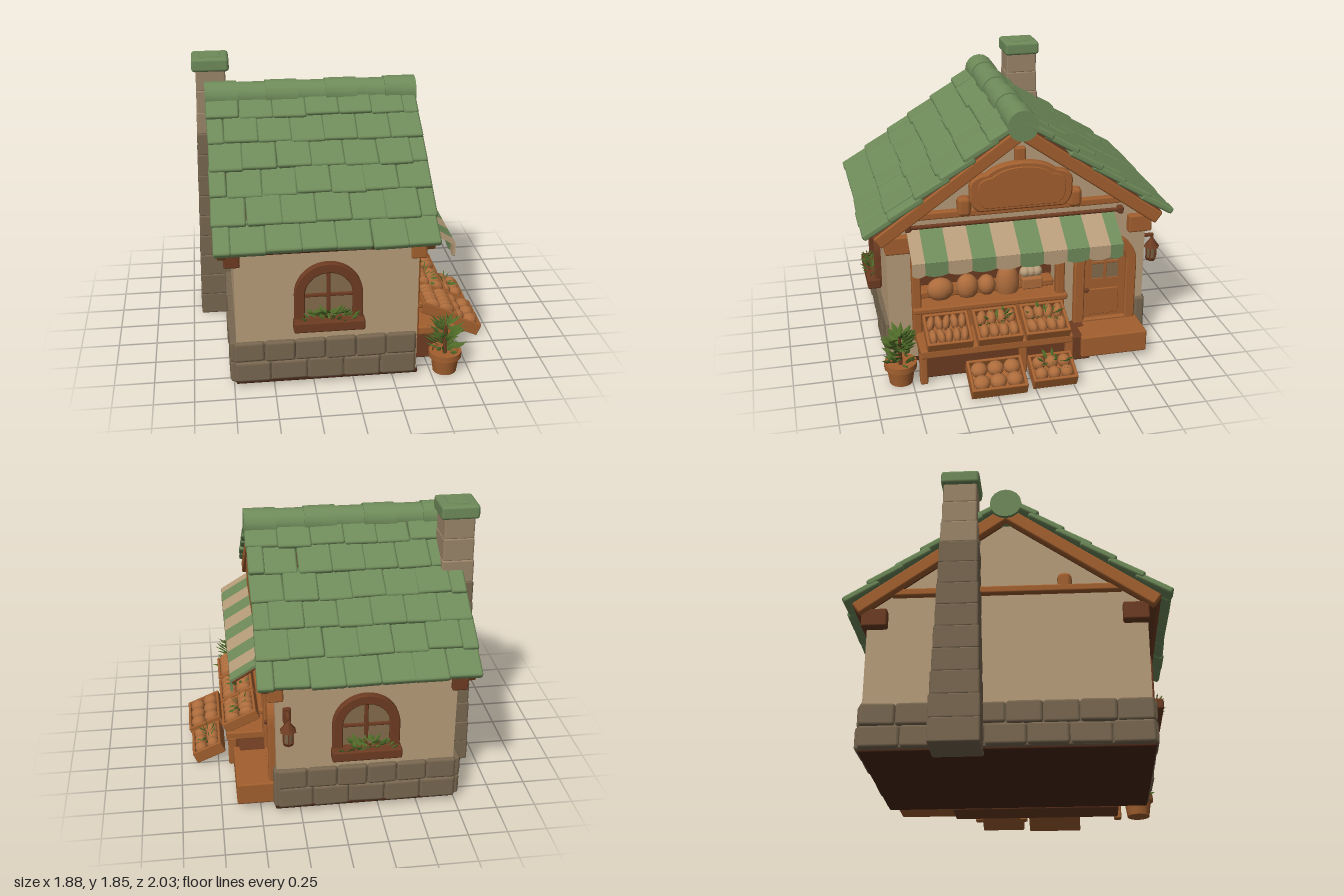
import * as THREE from 'three';
import { toCreasedNormals } from 'three/addons/utils/BufferGeometryUtils.js';
import { RoundedBoxGeometry } from 'three/addons/geometries/RoundedBoxGeometry.js';

const mat = (name, color) => Object.assign(new THREE.MeshStandardMaterial({ color }), { name });
const M = {
  green: mat('roofGreen', 0x6f8b5a), plaster: mat('plaster', 0xb89d7a), timber: mat('darkTimber', 0x6e3c22),
  wood: mat('warmWood', 0xa3602f), stone: mat('stone', 0x786750), pale: mat('paleStone', 0x9c866a),
  dark: mat('shadowWood', 0x4a2817), leaf: mat('leaf', 0x4f6b28), glass: mat('glass', 0x846c4c), bread: mat('bread', 0xad6c3c),
};
let seed = 7;
const rnd = (a = -1, b = 1) => { seed = (seed * 16807) % 2147483647; return a + (b - a) * seed / 2147483647; };

function add(parent, name, geo, m, x = 0, y = 0, z = 0, rx = 0, ry = 0, rz = 0) {
  const mesh = new THREE.Mesh(geo, m);
  mesh.name = name; mesh.position.set(x, y, z); mesh.rotation.set(rx, ry, rz);
  parent.add(mesh);
  return mesh;
}
function group(parent, name, x = 0, y = 0, z = 0, ry = 0) {
  const g = new THREE.Group();
  g.name = name; g.position.set(x, y, z); g.rotation.y = ry; parent.add(g);
  return g;
}
const rbox = (w, h, d, r = 0.012) => new RoundedBoxGeometry(w, h, d, 1, Math.min(r, w / 3, h / 3, d / 3));
// box given by its limits
const span = (p, name, m, x0, x1, y0, y1, z0, z1, r) =>
  add(p, name, rbox(x1 - x0, y1 - y0, z1 - z0, r), m, (x0 + x1) / 2, (y0 + y1) / 2, (z0 + z1) / 2);
const extrude = (shape, depth, bevel = 0) => toCreasedNormals(new THREE.ExtrudeGeometry(shape, {
  depth, curveSegments: 10, bevelEnabled: bevel > 0, bevelSize: bevel, bevelThickness: bevel, bevelSegments: 1 }), 0.6);
const poly = pts => new THREE.Shape(pts.map(p => new THREE.Vector2(...p)));
function arch(hw, y0, ys) {
  const s = new THREE.Shape();
  s.moveTo(-hw, y0); s.lineTo(hw, y0); s.lineTo(hw, ys); s.absarc(0, ys, hw, 0, Math.PI); s.closePath();
  return s;
}
function archFrame(hw, t, y0, sill, ys) {
  const s = arch(hw, y0, ys);
  s.holes.push(arch(hw - t, y0 + sill, ys));
  return s;
}

// pointed leaves spread through a half ellipsoid
const leafGeo = new THREE.OctahedronGeometry(1, 0).scale(0.32, 1, 0.12).translate(0, 0.6, 0);
function foliage(p, name, n, size, rx, h, rz, x, y, z) {
  const g = group(p, name, x, y, z), up = new THREE.Vector3(0, 1, 0);
  for (let i = 0; i < n; i++) {
    const a = i * 2.4, k = Math.sqrt(rnd(0, 1)), v = rnd(0, 1), w = k * (1 - 0.5 * v);
    const m = add(g, 'leaf', leafGeo, M.leaf, Math.cos(a) * rx * w, h * v, Math.sin(a) * rz * w);
    m.quaternion.setFromUnitVectors(up, new THREE.Vector3(Math.cos(a), rnd(0.3, 1.1), Math.sin(a)).normalize());
    m.scale.setScalar(size * rnd(0.75, 1.15));
  }
}

// open crate with loaves, front facing +z
function crate(p, w, h, d, x, y, z, tilt, cols, rows, greens) {
  const g = group(p, 'crate', x, y, z);
  g.rotation.x = tilt;
  span(g, 'crateBottom', M.wood, -w / 2, w / 2, 0, 0.02, -d / 2, d / 2);
  for (const s of [-1, 1]) {
    add(g, 'crateSide', rbox(0.02, h, d), M.wood, s * (w / 2 - 0.01), h / 2, 0);
    add(g, 'crateEnd', rbox(w, h, 0.02), M.wood, 0, h / 2, s * (d / 2 - 0.01));
  }
  const cw = (w - 0.04) / cols, cd = (d - 0.04) / rows;
  for (let i = 0; i < cols; i++) for (let j = 0; j < rows; j++) {
    const b = add(g, 'loaf', new THREE.SphereGeometry(1, 10, 8), M.bread,
      (i + 0.5) * cw - w / 2 + 0.02, h * 0.8, (j + 0.5) * cd - d / 2 + 0.02, 0, rnd() * 0.3, 0);
    b.scale.set(cw * 0.52, 0.045, cd * 0.52);
  }
  if (greens) foliage(g, 'greens', 12, 0.035, w * 0.4, 0.03, d * 0.3, 0, h, -0.02);
}

function windowUnit(p, z, ry) {
  const g = group(p, 'archedWindow', -0.16, 0, z, ry);
  add(g, 'windowFrame', extrude(archFrame(0.205, 0.052, 0.43, 0.05, 0.635), 0.04, 0.006), M.timber, 0, 0, -0.01);
  add(g, 'windowGlass', extrude(arch(0.16, 0.45, 0.635), 0.006), M.glass, 0, 0, 0.002);
  span(g, 'mullion', M.timber, -0.013, 0.013, 0.46, 0.79, 0, 0.022);
  span(g, 'glazingBar', M.timber, -0.155, 0.155, 0.617, 0.64, 0, 0.02);
  span(g, 'planterBox', M.timber, -0.22, 0.22, 0.41, 0.48, 0.0, 0.09);
  foliage(g, 'planterLeaves', 55, 0.034, 0.18, 0.06, 0.045, 0, 0.475, 0.055);
}

function buildRoof(root) {
  const roof = group(root, 'roof', -0.17), tilt = Math.atan(0.71);
  for (const ry of [0, Math.PI]) {
    const side = group(roof, 'roofSlope', 0, 1.64, 0, ry), slope = new THREE.Group();
    slope.rotation.x = tilt; side.add(slope);
    span(slope, 'roofDeck', M.timber, -0.65, 0.65, -0.05, 0.005, 0, 1.16);
    for (const x of [-0.63, 0.63]) span(slope, 'rafter', M.wood, x - 0.03, x + 0.03, -0.085, 0.0, 0.02, 1.16);
    for (let r = 0; r < 6; r++) {
      const off = r % 2 ? 0.5 : 0;
      for (let c = 0; c < 7; c++) {
        const x0 = Math.max(-0.675, -0.68 + (c - off) * 0.21), x1 = Math.min(0.675, -0.68 + (c + 1 - off) * 0.21);
        if (x1 - x0 < 0.04) continue;
        add(slope, 'roofTile', rbox(x1 - x0 + 0.006, 0.045, 0.25, 0.015), M.green,
          (x0 + x1) / 2 + rnd() * 0.005, 0.034 + rnd() * 0.005, 0.095 + r * 0.196 + rnd() * 0.009, -0.09, rnd() * 0.02, rnd() * 0.015);
      }
    }
  }
  // overlapping ridge caps
  for (let i = 0; i < 7; i++)
    add(roof, 'ridgeCap', toCreasedNormals(new THREE.CylinderGeometry(0.1 - (i % 2) * 0.009, 0.1 - (i % 2) * 0.009, 0.205, 16), 0.6),
      M.green, -0.58 + i * 0.193, 1.642, 0, 0, 0, Math.PI / 2);
}

function buildStonework(root) {
  // plinth: two courses of uneven blocks along front, back and left sides
  for (const [ry, half, dist, cx] of [[0, 0.57, 0.865, -0.175], [Math.PI, 0.57, 0.865, -0.175], [-Math.PI / 2, 0.87, 0.575, -0.175]]) {
    const g = group(root, 'stonePlinth', cx, 0, 0, ry);
    span(g, 'plinthCore', M.stone, -half, half, 0.045, 0.32, dist - 0.05, dist + 0.005);
    for (let r = 0; r < 2; r++) {
      const n = Math.round(half * 8) + r;
      for (let i = 0; i < n; i++) {
        const w = half * 2 / n;
        add(g, 'plinthStone', rbox(w, 0.143 + rnd() * 0.008, 0.07, 0.02), M.stone,
          -half + (i + 0.5) * w, 0.118 + r * 0.138, dist - 0.012 + rnd() * 0.006, 0, rnd() * 0.02, rnd() * 0.02);
      }
    }
  }
  // chimney in tapering courses
  const ch = group(root, 'chimney', -0.81, 0, -0.285);
  for (let i = 0; i < 12; i++) {
    const k = i / 11;
    add(ch, 'chimneyCourse', rbox(0.265 - 0.07 * k + rnd() * 0.004, 0.154, 0.31 - 0.095 * k + rnd() * 0.004, 0.012),
      i > 8 ? M.pale : M.stone, 0, 0.085 + i * 0.147, 0);
  }
  add(ch, 'chimneyCap', rbox(0.245, 0.09, 0.245, 0.02), M.green, 0, 1.803, 0);
  add(ch, 'chimneyCapPanel', rbox(0.14, 0.012, 0.14, 0.004), M.green, 0, 1.847, 0);
}

// shop face: local x runs along the face, local z points outward
function buildShop(root) {
  const s = group(root, 'shopFace', 0, 0, 0, Math.PI / 2);
  const wall = poly([[-0.86, 0.04], [0.86, 0.04], [0.86, 0.95], [0, 1.56], [-0.86, 0.95]]);
  add(s, 'mainWalls', extrude(wall, 0.93), M.plaster, 0, 0, -0.73);
  const front = wall.clone();
  front.holes.push(poly([[-0.65, 0.42], [0.27, 0.42], [0.27, 0.8], [-0.65, 0.8]]));
  add(s, 'shopWall', extrude(front, 0.2), M.plaster, 0, 0, 0.2);
  span(s, 'floor', M.dark, -0.87, 0.87, 0.03, 0.06, -0.74, 0.41);
  span(s, 'recessBack', M.timber, -0.66, 0.28, 0.41, 0.82, 0.19, 0.215);

  // timber framing on both gables
  for (const z of [0.4, -0.74]) {
    span(s, 'tieBeam', M.wood, -0.84, 0.84, 1.045, 1.095, z - 0.03, z + 0.04).scale.x = 0.85;
    for (const u of [-0.36, 0.36]) span(s, 'braceEnd', M.wood, u - 0.045, u + 0.045, 1.05, 1.18, z - 0.03, z + 0.06, 0.03);
    for (const u of [-0.8, 0.8]) span(s, 'eaveBracket', z > 0 ? M.wood : M.timber, u - 0.07, u + 0.09, 0.83, 0.95, z - 0.05, z + 0.05);
  }
  for (const u of [-0.88, 0.88]) span(s, 'eaveBeam', M.timber, u - 0.04, u + 0.04, 0.93, 1.0, -0.8, 0.46);
  span(s, 'kingPost', M.wood, -0.035, 0.035, 1.36, 1.48, 0.38, 0.44);
  span(s, 'cornerStone', M.stone, 0.81, 0.88, 0.05, 0.33, 0.34, 0.42, 0.02);

  // shaped blank sign
  const sign = k => {
    const h = new THREE.Shape();
    h.moveTo(-0.27 * k, -0.13 * k); h.lineTo(0.27 * k, -0.13 * k); h.quadraticCurveTo(0.33 * k, -0.1 * k, 0.32 * k, 0);
    h.quadraticCurveTo(0.34 * k, 0.09 * k, 0.22 * k, 0.1 * k); h.quadraticCurveTo(0.15 * k, 0.165 * k, 0, 0.165 * k);
    h.quadraticCurveTo(-0.15 * k, 0.165 * k, -0.22 * k, 0.1 * k); h.quadraticCurveTo(-0.34 * k, 0.09 * k, -0.32 * k, 0);
    h.quadraticCurveTo(-0.33 * k, -0.1 * k, -0.27 * k, -0.13 * k);
    return h;
  };
  add(s, 'signBoard', extrude(sign(1), 0.04, 0.01), M.wood, 0, 1.225, 0.43);
  add(s, 'signPanel', extrude(sign(0.86), 0.008, 0.004), M.wood, 0, 1.225, 0.478);

  // striped awning with scalloped valance
  const aw = group(s, 'awning');
  const cuts = [-0.73, -0.65, -0.505, -0.355, -0.205, -0.05, 0.1, 0.255, 0.4, 0.54, 0.625];
  for (let i = 0; i < 10; i++) {
    const w = cuts[i + 1] - cuts[i], c = (cuts[i] + cuts[i + 1]) / 2, m = i % 2 ? M.green : M.plaster;
    add(aw, 'awningStripe', new THREE.BoxGeometry(w, 0.014, 0.275), m, c, 0.922, 0.535, 0.55);
    const v = new THREE.Shape();
    v.moveTo(-w / 2, 0.855); v.lineTo(-w / 2, 0.775); v.quadraticCurveTo(0, 0.745, w / 2, 0.775); v.lineTo(w / 2, 0.855);
    add(aw, 'awningValance', extrude(v, 0.014), m, c, 0, 0.642);
  }
  add(aw, 'awningRod', new THREE.CylinderGeometry(0.014, 0.014, 1.42, 10), M.timber, -0.02, 1.0, 0.43, 0, 0, Math.PI / 2);
  for (const u of [-0.72, 0.67]) {
    span(aw, 'rodBracket', M.timber, u - 0.02, u + 0.02, 0.975, 1.025, 0.4, 0.455);
    add(aw, 'awningArm', new THREE.CylinderGeometry(0.008, 0.008, 0.26, 6), M.timber, u * 0.93, 0.905, 0.535, Math.PI / 2 + 0.55);
  }

  // shop window posts, counter and stall
  for (const u of [-0.68, 0.275]) span(s, 'windowPost', M.wood, u - 0.03, u + 0.03, 0.2, 0.99, 0.38, 0.445);
  span(s, 'windowLintel', M.timber, -0.68, 0.28, 0.78, 0.83, 0.38, 0.43);
  span(s, 'counter', M.wood, -0.71, 0.32, 0.4, 0.44, 0.22, 0.47);
  span(s, 'recessShelf', M.wood, -0.64, 0.26, 0.44, 0.49, 0.22, 0.33);
  span(s, 'stallPanel', M.wood, -0.7, 0.31, 0.2, 0.41, 0.38, 0.43);
  span(s, 'stallLedge', M.wood, -0.7, 0.3, 0.2, 0.26, 0.4, 0.69);
  span(s, 'stallBase', M.timber, -0.68, 0.44, 0.02, 0.2, 0.4, 0.62);
  for (const u of [-0.68, -0.03, 0.28]) span(s, 'stallLeg', M.wood, u - 0.025, u + 0.025, 0.01, 0.22, 0.62, 0.68);
  [[-0.51, 5], [-0.185, 4], [0.13, 4]].forEach(([u, n], i) => crate(s, 0.295, 0.075, 0.25, u, 0.295, 0.57, 0.42, n, 2, i > 0));
  crate(s, 0.36, 0.085, 0.24, -0.24, 0.055, 0.8, 0.4, 3, 2, false);
  crate(s, 0.29, 0.085, 0.21, 0.125, 0.055, 0.795, 0.4, 3, 2, true);
  [[-0.51, 0.09, 0.08], [-0.33, 0.075, 0.09], [-0.2, 0.06, 0.07], [-0.06, 0.08, 0.14]].forEach(([u, w, h]) =>
    add(s, 'displayLoaf', new THREE.SphereGeometry(1, 14, 10), M.bread, u, 0.5, 0.33).scale.set(w, h, 0.065));
  span(s, 'displayBasket', M.bread, 0.03, 0.17, 0.46, 0.54, 0.27, 0.39);
  for (const u of [0.06, 0.1, 0.14]) add(s, 'flourRoll', new THREE.SphereGeometry(0.038, 10, 8), M.plaster, u, 0.565, 0.33);

  // arched door and step
  const d = group(s, 'door', 0.585, 0, 0.4);
  add(d, 'doorFrame', extrude(archFrame(0.205, 0.055, 0.2, 0.01, 0.615), 0.045, 0.008), M.wood, 0, 0, -0.01);
  add(d, 'doorLeaf', extrude(arch(0.155, 0.2, 0.615), 0.015), M.wood, 0, 0, 0);
  span(d, 'doorPanel', M.wood, -0.1, 0.1, 0.24, 0.43, 0.01, 0.026);
  add(d, 'doorWindowFrame', extrude(archFrame(0.11, 0.018, 0.49, 0.018, 0.65), 0.014), M.wood, 0, 0, 0.014);
  add(d, 'doorGlass', extrude(arch(0.095, 0.5, 0.65), 0.004), M.glass, 0, 0, 0.014);
  span(d, 'doorMullion', M.wood, -0.01, 0.01, 0.5, 0.75, 0.014, 0.028);
  span(d, 'doorBar', M.wood, -0.1, 0.1, 0.615, 0.635, 0.014, 0.028);
  add(d, 'doorKnob', new THREE.SphereGeometry(0.016, 8, 6), M.timber, -0.125, 0.43, 0.03);
  span(s, 'doorStep', M.wood, 0.37, 0.82, 0.05, 0.2, 0.38, 0.65);

  // potted plant
  const pot = group(s, 'pottedPlant', -0.82, 0.01, 0.595);
  const prof = [[0, 0], [0.075, 0], [0.09, 0.1], [0.105, 0.105], [0.105, 0.145], [0.085, 0.145], [0.08, 0.125], [0, 0.125]];
  add(pot, 'flowerPot', toCreasedNormals(new THREE.LatheGeometry(prof.map(p => new THREE.Vector2(...p)), 18), 0.6), M.wood);
  add(pot, 'stem', new THREE.CylinderGeometry(0.01, 0.015, 0.2, 6), M.timber, 0, 0.22, 0);
  foliage(pot, 'plantLeaves', 75, 0.055, 0.075, 0.19, 0.075, 0, 0.15, 0);
}

function buildLantern(root) {
  const l = group(root, 'lantern', 0.33, 0, -0.94);
  span(l, 'lanternArm', M.timber, -0.012, 0.012, 0.735, 0.76, -0.01, 0.08);
  span(l, 'wallPlate', M.timber, -0.025, 0.025, 0.67, 0.78, 0.06, 0.085);
  add(l, 'lanternHook', new THREE.TorusGeometry(0.014, 0.005, 6, 12), M.timber, 0, 0.73, 0);
  add(l, 'lanternCap', new THREE.CylinderGeometry(0.012, 0.055, 0.06, 6), M.timber, 0, 0.69, 0);
  add(l, 'lanternGlass', new THREE.CylinderGeometry(0.036, 0.028, 0.085, 6), M.glass, 0, 0.62, 0);
  add(l, 'lanternBase', new THREE.CylinderGeometry(0.04, 0.03, 0.022, 6), M.timber, 0, 0.572, 0);
  for (let i = 0; i < 6; i++) {
    const a = i * Math.PI / 3;
    add(l, 'lanternBar', new THREE.BoxGeometry(0.008, 0.09, 0.008), M.timber, Math.sin(a) * 0.034, 0.62, Math.cos(a) * 0.034);
  }
}

export function createModel() {
  seed = 7;
  const root = new THREE.Group();
  root.name = 'cottageShop';
  buildRoof(root);
  buildStonework(root);
  buildShop(root);
  windowUnit(root, 0.865, 0);
  windowUnit(root, -0.865, Math.PI);
  buildLantern(root);
  return root;
}
